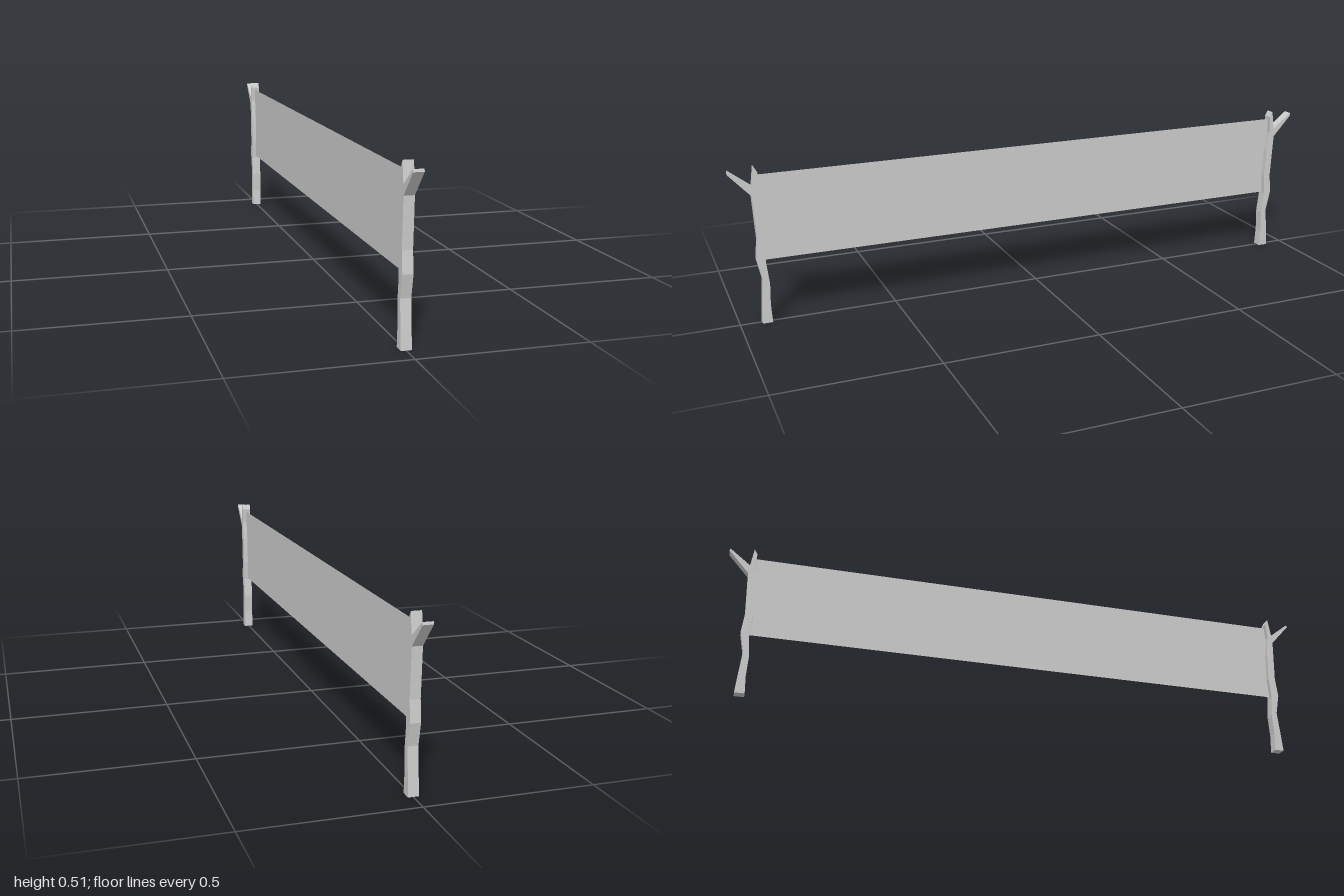
import * as THREE from 'three';

export function createModel() {
  const group = new THREE.Group();
  const grey = new THREE.MeshStandardMaterial({ color: 0xcccccc, side: THREE.DoubleSide });
  grey.name = 'light grey';

  // Forked post outline as [z, y]: up the outer edge, round the fork, down the inner edge
  const outline = [
    [0.933, 0], [0.929, 0.05], [0.921, 0.14], [0.935, 0.208], [0.928, 0.272], [0.934, 0.417],
    [1, 0.49], [0.998, 0.498], [0.931, 0.446], [0.922, 0.508], [0.912, 0.49],
    [0.916, 0.435], [0.907, 0.37], [0.903, 0.27], [0.908, 0.2], [0.901, 0.13], [0.904, 0.06], [0.901, 0],
  ];
  const shape = new THREE.Shape(outline.map(([z, y]) => new THREE.Vector2(z, y)));
  const width = 0.031;
  const postGeometry = new THREE.ExtrudeGeometry(shape, { depth: width, bevelEnabled: false });
  postGeometry.rotateY(-Math.PI / 2).translate(width / 2, 0, 0);

  // One post at each end, forks pointing outwards
  [['frontPost', 0], ['backPost', Math.PI]].forEach(([name, turn]) => {
    const post = new THREE.Mesh(postGeometry, grey);
    post.name = name;
    post.rotation.y = turn;
    group.add(post);
  });

  // Flat sheet stretched between the posts
  const bottom = 0.205, top = 0.48;
  const sheet = new THREE.Mesh(new THREE.PlaneGeometry(1.83, top - bottom), grey);
  sheet.name = 'netSheet';
  sheet.rotation.y = Math.PI / 2;
  sheet.position.y = (top + bottom) / 2;
  group.add(sheet);

  return group;
}
